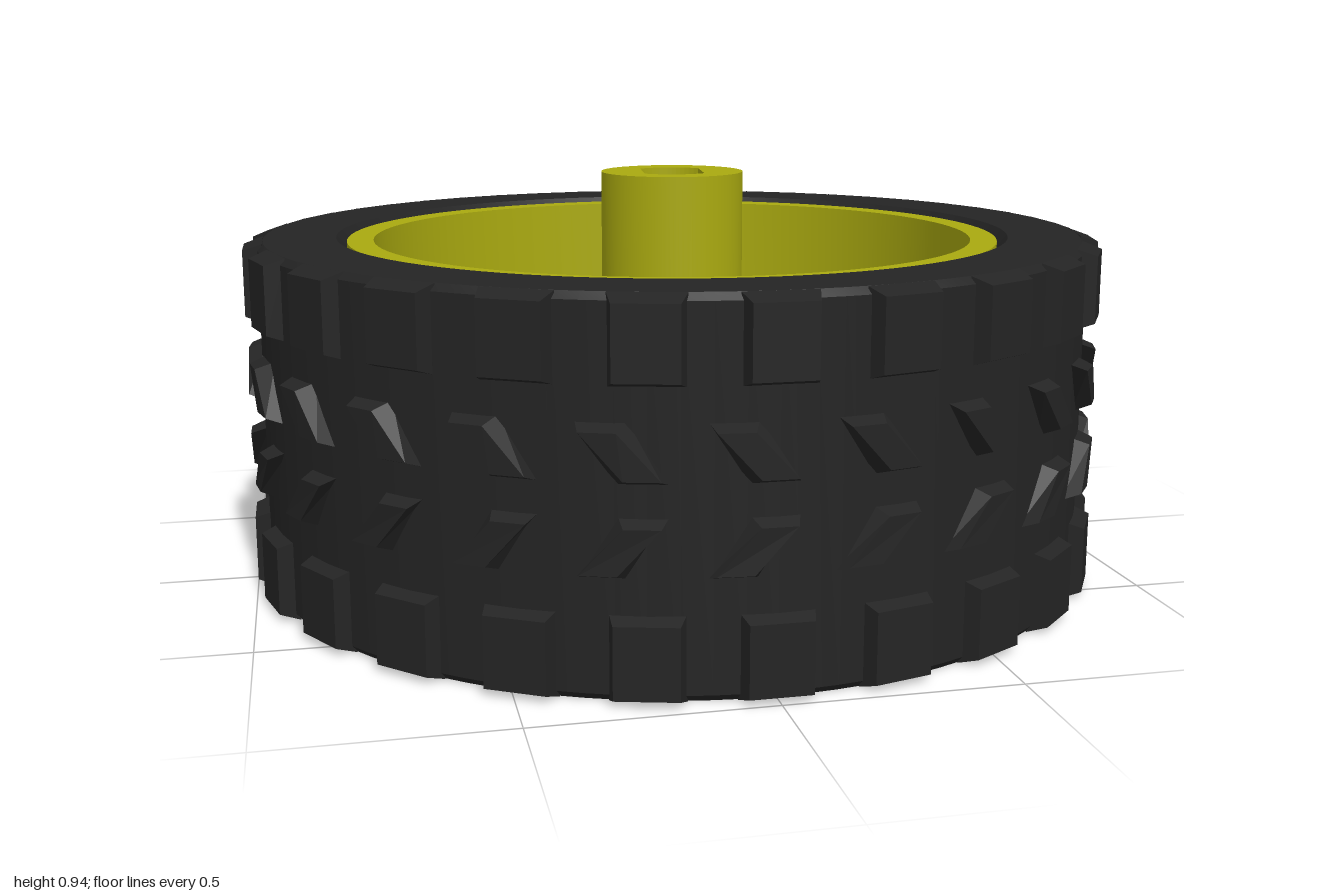
import * as THREE from 'three';
import { mergeGeometries, toCreasedNormals } from 'three/addons/utils/BufferGeometryUtils.js';

const SPOKES = 5, LUGS = 24;
const SPOKE_START = THREE.MathUtils.degToRad(-93);
const STEP = (Math.PI * 2) / SPOKES;

const rubber = new THREE.MeshStandardMaterial({ color: 0x242424 });
const plastic = new THREE.MeshStandardMaterial({ color: 0xaaaa10 });

function part(name, geometry, material) {
  const mesh = new THREE.Mesh(geometry, material);
  mesh.name = name;
  return mesh;
}

// Closed ring from a counterclockwise [radius, height] profile
function ring(profile) {
  const points = [...profile, profile[0]].map(([r, y]) => new THREE.Vector2(r, y));
  return toCreasedNormals(new THREE.LatheGeometry(points, 96), 0.45);
}

// Plate drawn in plan (x, z), occupying bottom..top
function plate(shape, bottom, top) {
  const g = new THREE.ExtrudeGeometry(shape, { depth: top - bottom, bevelEnabled: false, curveSegments: 48 });
  g.rotateX(Math.PI / 2).translate(0, top, 0);
  return toCreasedNormals(g, 0.45);
}

const polar = (r, a) => new THREE.Vector2(r * Math.cos(a), r * Math.sin(a));

// One row of bevelled tread blocks wrapped round the tyre
function treadRow({ y, height, width, offset = 0, shear = 0, bevel }) {
  const blocks = [];
  for (let i = 0; i < LUGS; i++) {
    const g = new THREE.BoxGeometry(1, 1, 1).toNonIndexed();
    const p = g.attributes.position;
    for (let k = 0; k < p.count; k++) {
      const outer = p.getZ(k) > 0;
      const inset = outer ? 2 * bevel : 0;
      const r = outer ? 1.001 : 0.958;
      const a = offset + p.getX(k) * (width - inset) + p.getY(k) * shear;
      p.setXYZ(k, r * Math.sin(a), y + p.getY(k) * (height - inset), r * Math.cos(a));
    }
    g.computeVertexNormals();
    blocks.push(g.rotateY((i * Math.PI * 2) / LUGS));
  }
  return mergeGeometries(blocks);
}

// Five arms with curved window edges between them, open at the hub
function starShape() {
  const shape = new THREE.Shape();
  for (let i = 0; i < SPOKES; i++) {
    const c = SPOKE_START + (i + 0.5) * STEP;
    const edge = new THREE.SplineCurve([
      polar(0.63, c - 0.47), polar(0.52, c - 0.39), polar(0.435, c - 0.27), polar(0.385, c),
      polar(0.435, c + 0.27), polar(0.52, c + 0.39), polar(0.63, c + 0.47),
    ]).getPoints(30);
    const outline = [polar(0.705, c - 0.47), ...edge, polar(0.705, c + 0.47)];
    outline.forEach((p, k) => (i + k === 0 ? shape.moveTo(p.x, p.y) : shape.lineTo(p.x, p.y)));
  }
  shape.closePath();
  const hole = new THREE.Path();
  hole.absarc(0, 0, 0.375, 0, Math.PI * 2, true);
  shape.holes.push(hole);
  return shape;
}

// Round boss with a shaft hole that has two flats
function bossShape() {
  const shape = new THREE.Shape();
  shape.absarc(0, 0, 0.168, 0, Math.PI * 2, false);
  const tilt = 0.12, half = 0.8;
  const hole = new THREE.Path();
  hole.absarc(0, 0, 0.098, Math.PI / 2 + tilt - half, Math.PI / 2 + tilt + half, false);
  hole.absarc(0, 0, 0.098, -Math.PI / 2 + tilt - half, -Math.PI / 2 + tilt + half, false);
  hole.closePath();
  shape.holes.push(hole);
  return shape;
}

export function createModel() {
  const model = new THREE.Group();
  model.name = 'wheel';

  // Tyre and tread
  const tyre = new THREE.Group();
  tyre.name = 'tyre';
  tyre.add(part('tyreBody', ring([
    [0.765, 0.03], [0.79, 0], [0.955, 0], [0.968, 0.015],
    [0.968, 0.785], [0.955, 0.8], [0.79, 0.8], [0.765, 0.77],
  ]), rubber));
  const shoulder = { height: 0.18, width: 0.16, bevel: 0.015 };
  const chevron = { height: 0.125, width: 0.105, offset: -0.05, bevel: 0.016 };
  tyre.add(
    part('upperShoulderLugs', treadRow({ ...shoulder, y: 0.71 }), rubber),
    part('upperChevronLugs', treadRow({ ...chevron, y: 0.495, shear: -0.085 }), rubber),
    part('lowerChevronLugs', treadRow({ ...chevron, y: 0.31, shear: 0.085 }), rubber),
    part('lowerShoulderLugs', treadRow({ ...shoulder, y: 0.09 }), rubber),
  );
  model.add(tyre);

  // Rim barrel with its inner flange
  const rim = new THREE.Group();
  rim.name = 'rim';
  rim.add(part('rimBarrel', ring([
    [0.745, 0.01], [0.766, 0.01], [0.766, 0.79], [0.705, 0.79],
    [0.7, 0.25], [0.632, 0.25], [0.632, 0.19], [0.7, 0.19],
  ]), plastic));
  rim.add(part('spokeStar', plate(starShape(), 0.1, 0.2), plastic));

  // Domed hub, hollow beneath
  rim.add(part('hub', ring([
    [0, 0.19], [0.165, 0.19], [0.2, 0.165], [0.26, 0.125], [0.32, 0.106], [0.385, 0.1],
    [0.385, 0.2], [0.3, 0.265], [0.215, 0.32], [0, 0.32],
  ]), plastic));
  rim.add(part('axleBoss', plate(bossShape(), 0.3, 0.94), plastic));

  // Stiffening ribs over the spokes
  const ribProfile = new THREE.Shape([
    [0.16, 0.22], [0.39, 0.15], [0.705, 0.15], [0.705, 0.45],
    [0.49, 0.44], [0.38, 0.345], [0.16, 0.335],
  ].map(([r, y]) => new THREE.Vector2(r, y)));
  const ribGeometry = new THREE.ExtrudeGeometry(ribProfile, { depth: 0.03, bevelEnabled: false });
  ribGeometry.translate(0, 0, -0.015);
  for (let i = 0; i < SPOKES; i++) {
    const rib = part('spokeRib', ribGeometry, plastic);
    rib.rotation.y = -(SPOKE_START + i * STEP);
    rim.add(rib);
  }
  model.add(rim);
  return model;
}
